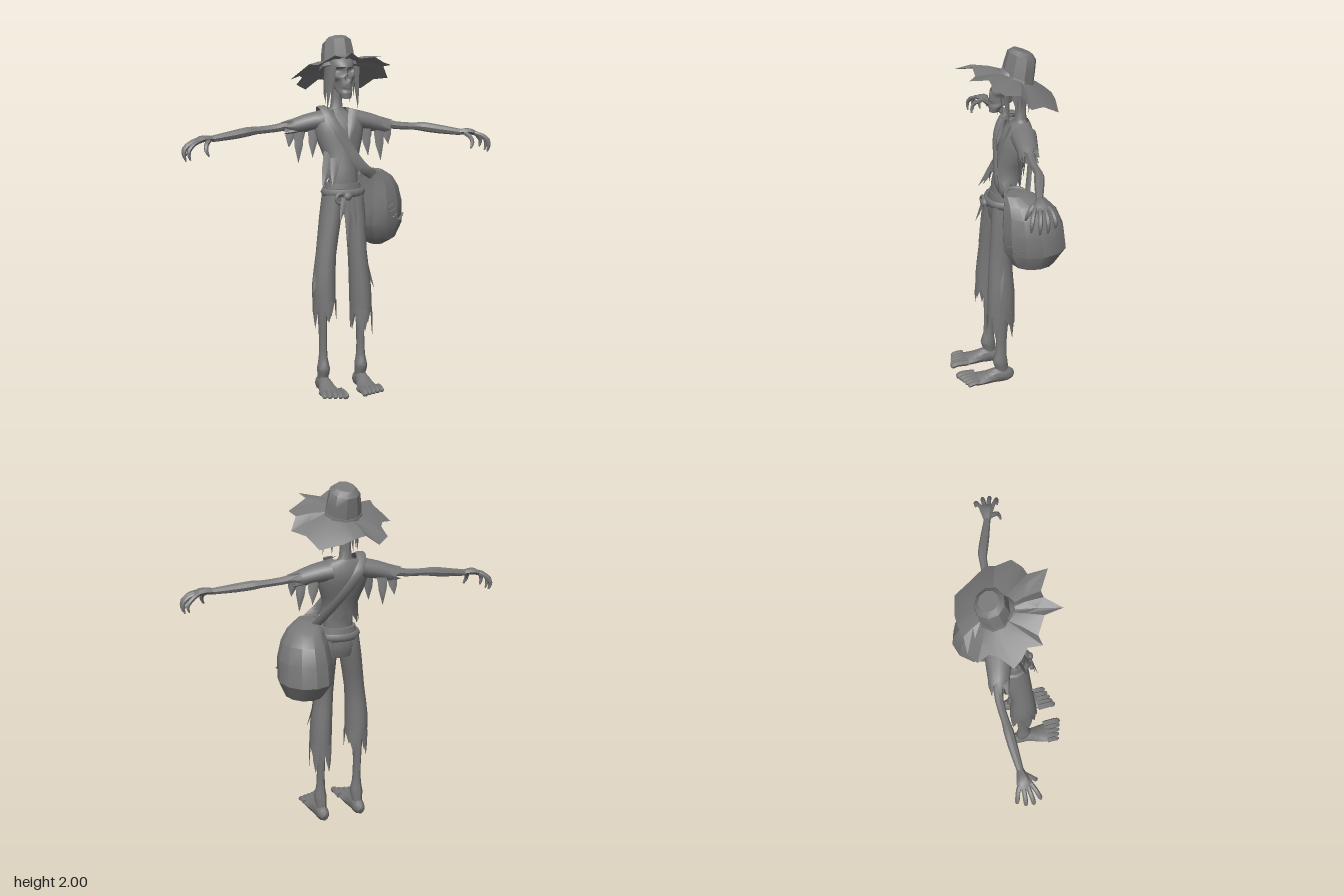
import * as THREE from 'three';
import { toCreasedNormals } from 'three/addons/utils/BufferGeometryUtils.js';

const V = (x, y, z) => new THREE.Vector3(x, y, z);
const X = V(1, 0, 0), Y = V(0, 1, 0), Z = V(0, 0, 1);
const noise = (i) => Math.abs(Math.sin(i * 12.9898 + 4.1) * 437.585) % 1;

// Crease normals at a large scale so that tiny parts keep their edges
function crease(geo, angle) {
  geo.scale(100, 100, 100);
  const out = toCreasedNormals(geo, angle);
  return out.scale(0.01, 0.01, 0.01);
}

// Elliptical cross-sections along points [x, y, z, radiusA, radiusB].
// level keeps sections horizontal (points must rise); arc leaves them open.
function sweep(pts, n, { seg = 2, ref = X, level = false, cap = true, arc = null, edit = null, angle = 0.7 } = {}) {
  const path = new THREE.CatmullRomCurve3(pts.map((p) => V(p[0], p[1], p[2])), false, 'catmullrom');
  const radii = new THREE.CatmullRomCurve3(pts.map((p) => V(p[3], p[4] ?? p[3], 0)), false, 'catmullrom');
  const rows = (pts.length - 1) * seg, cols = arc ? n + 1 : n;
  const [a0, a1] = arc ?? [0, Math.PI * 2];
  const pos = [], idx = [];
  for (let i = 0; i <= rows; i++) {
    const u = i / rows, c = path.getPoint(u), r = radii.getPoint(u);
    const t = level ? Y : path.getTangent(u);
    const side = ref.clone().addScaledVector(t, -ref.dot(t)).normalize();
    const up = side.clone().cross(t);
    for (let j = 0; j < cols; j++) {
      const a = a0 + (a1 - a0) * j / n;
      const p = c.clone().addScaledVector(side, Math.cos(a) * Math.max(r.x, 0.0005))
        .addScaledVector(up, Math.sin(a) * Math.max(r.y, 0.0005));
      if (edit) edit(p, i, j, rows);
      pos.push(p.x, p.y, p.z);
    }
  }
  for (let i = 0; i < rows; i++) for (let j = 0; j < n; j++) {
    const k = (j + 1) % cols, a = i * cols + j, b = i * cols + k;
    idx.push(a, a + cols, b, b, a + cols, b + cols);
  }
  if (cap && !arc) [0, rows].forEach((row) => {
    const c = path.getPoint(row / rows), m = pos.length / 3;
    pos.push(c.x, c.y, c.z);
    for (let j = 0; j < n; j++) {
      const a = row * cols + j, b = row * cols + (j + 1) % n;
      if (row) idx.push(m, b, a); else idx.push(m, a, b);
    }
  });
  const geo = new THREE.BufferGeometry();
  geo.setAttribute('position', new THREE.Float32BufferAttribute(pos, 3));
  geo.setIndex(idx);
  return crease(geo, angle);
}

export function createModel() {
  const grey = new THREE.MeshStandardMaterial({ color: 0x787878, side: THREE.DoubleSide });
  grey.name = 'grey';
  const root = new THREE.Group();
  const add = (name, geo, parent = root) => {
    const m = new THREE.Mesh(geo, grey);
    m.name = name;
    parent.add(m);
    return m;
  };
  const group = (name) => { const g = new THREE.Group(); g.name = name; root.add(g); return g; };
  // Flat tapering strip of cloth or hair
  const rag = (name, a, b, w, ref = X) => add(name, sweep([
    [...a, w, 0.005], [(a[0] + b[0]) / 2, a[1] * 0.45 + b[1] * 0.55, (a[2] + b[2]) / 2, w * 0.75, 0.004],
    [...b, 0.001, 0.001]], 4, { seg: 1, ref }));
  const tatter = (drop) => (p, i, j) => { if (i === 0) p.y += (j % 2 ? -drop : drop) * (0.4 + 0.6 * noise(j)); };

  // Hat: tilted back, with torn drooping brim given as [degrees, radius]
  const hat = group('hat');
  hat.position.set(0.005, 1.845, -0.095);
  hat.rotation.x = -0.36;
  add('crown', sweep([[0, -0.03, 0, 0.103, 0.092], [0, 0.05, 0.014, 0.094, 0.088], [0, 0.11, 0.024, 0.082, 0.082], [0, 0.135, 0.028, 0.055, 0.055]],
    9, { seg: 1, level: true, angle: 0.6 }), hat);
  add('hatBand', sweep([[0, -0.03, 0, 0.11, 0.099], [0, 0.0, 0.004, 0.102, 0.093]], 9, { seg: 1, level: true }), hat);
  const rim = [[0, 0.285], [14, 0.25], [30, 0.29], [45, 0.27], [58, 0.25], [67, 0.34], [83, 0.25], [94, 0.26],
    [105, 0.34], [114, 0.26], [137, 0.25], [143, 0.3], [155, 0.25], [168, 0.27], [180, 0.29], [194, 0.22],
    [207, 0.21], [220, 0.26], [238, 0.25], [254, 0.2], [275, 0.21], [290, 0.23], [315, 0.28], [340, 0.25]];
  const brimPos = [], brimIdx = [];
  rim.forEach(([deg, r], j) => [0.08, r * 0.65, r].forEach((q, k) => {
    const a = deg * Math.PI / 180, droop = 0.95 - 0.3 * Math.sin(a);
    brimPos.push(Math.cos(a) * q, -droop * q * q + k * 0.018 * (noise(j) - 0.5), Math.sin(a) * q);
    const n = (j + 1) % rim.length, c = j * 3 + k, d = n * 3 + k;
    if (k < 2) brimIdx.push(c, d, c + 1, d, d + 1, c + 1);
  }));
  const brim = new THREE.BufferGeometry();
  brim.setAttribute('position', new THREE.Float32BufferAttribute(brimPos, 3));
  brim.setIndex(brimIdx);
  add('brim', crease(brim, 0.3), hat);

  // Skull with hollow eyes, nose and cheeks: [x, y, width, height, depth]
  const hollows = [[0.031, 1.808, 0.023, 0.017, 0.045], [-0.031, 1.808, 0.023, 0.017, 0.045],
    [0, 1.77, 0.01, 0.015, 0.025], [0.055, 1.73, 0.022, 0.032, 0.035], [-0.055, 1.73, 0.022, 0.032, 0.035],
    [0, 1.708, 0.03, 0.006, 0.014]];
  add('skull', sweep([[0, 1.66, 0.045, 0.026, 0.024], [0, 1.695, 0.03, 0.04, 0.04], [0, 1.74, 0.0, 0.058, 0.068],
    [0, 1.78, -0.03, 0.07, 0.092], [0, 1.82, -0.045, 0.07, 0.1], [0, 1.87, -0.07, 0.07, 0.09], [0, 1.91, -0.09, 0.04, 0.05]],
  36, { seg: 5, level: true, angle: 1, edit: (p) => {
    if (p.z > -0.02) hollows.forEach(([x, y, w, h, d]) => { p.z -= d * Math.exp(-(((p.x - x) / w) ** 4) - ((p.y - y) / h) ** 4); });
  } }));
  for (let i = -2; i <= 2; i++) {
    add('tooth', new THREE.BoxGeometry(0.009, 0.02, 0.008).translate(i * 0.011, 1.725, 0.068 - i * i * 0.003));
  }
  // Straggly hair around sides and back
  for (let i = 0; i <= 12; i++) {
    const a = Math.PI * (0.96 + 1.08 * i / 12), c = Math.cos(a), s = Math.sin(a);
    rag('hairStrand', [0.078 * c, 1.83, -0.06 + 0.09 * s], [0.085 * c, 1.62 + 0.08 * noise(i), -0.07 + 0.085 * s], 0.024, V(-s, 0, c));
  }
  for (const s of [-1, 1]) {
    rag('hairStrand', [s * 0.075, 1.83, 0.0], [s * 0.09, 1.6, -0.01], 0.022, V(0.5, 0, 1));
    rag('hairStrand', [s * 0.068, 1.83, 0.03], [s * 0.075, 1.66, 0.02], 0.014, V(1, 0, 0.5));
  }

  // Bare torso and neck
  add('torso', sweep([[0, 1.1, -0.01, 0.09, 0.07], [0, 1.22, -0.005, 0.085, 0.062], [0, 1.32, -0.03, 0.085, 0.065],
    [0, 1.42, -0.06, 0.112, 0.075], [0, 1.5, -0.08, 0.125, 0.08], [0, 1.56, -0.1, 0.09, 0.055],
    [0, 1.6, -0.108, 0.036, 0.032], [0, 1.72, -0.108, 0.03, 0.03]], 14, { level: true }));

  // Open ragged shirt
  add('shirt', sweep([[0, 1.25, -0.02, 0.112, 0.085], [0, 1.33, -0.035, 0.1, 0.083], [0, 1.42, -0.06, 0.13, 0.09],
    [0, 1.51, -0.08, 0.145, 0.092], [0, 1.57, -0.09, 0.125, 0.07], [0, 1.595, -0.1, 0.07, 0.05]], 20, {
    level: true, arc: [Math.PI / 2 + 0.45, Math.PI * 2.5 - 0.45], edit: tatter(0.04) }));
  rag('shirtTatter', [-0.08, 1.36, 0.0], [-0.145, 1.17, 0.06], 0.035);
  rag('shirtTatter', [-0.06, 1.33, 0.03], [-0.1, 1.19, 0.1], 0.028);
  for (const s of [-1, 1]) {
    rag('collar', [s * 0.07, 1.59, -0.03], [s * 0.02, 1.42, 0.035], 0.026, V(1, 0.5 * s, 0));
  }

  // Arms: sleeve, limb, hand
  const arms = {
    left: [[0.1, 1.54, -0.09, 0.03], [0.22, 1.515, -0.075, 0.028], [0.34, 1.49, -0.05, 0.022], [0.45, 1.482, -0.04, 0.021],
      [0.5, 1.478, -0.03, 0.026], [0.58, 1.465, 0.0, 0.025], [0.7, 1.447, 0.045, 0.018]],
    right: [[-0.1, 1.54, -0.1, 0.03], [-0.22, 1.515, -0.135, 0.028], [-0.34, 1.49, -0.155, 0.022], [-0.45, 1.482, -0.152, 0.021],
      [-0.5, 1.478, -0.15, 0.026], [-0.58, 1.465, -0.148, 0.025], [-0.71, 1.447, -0.143, 0.018]],
  };
  for (const [name, pts] of Object.entries(arms)) {
    const s = name === 'left' ? 1 : -1;
    add(name + 'Arm', sweep(pts, 8, { ref: Z }));
    const z = (x) => pts[0][2] + (pts[2][2] - pts[0][2]) * (x - 0.1) / 0.24;
    add(name + 'Sleeve', sweep([[s * 0.08, 1.535, z(0.08), 0.075, 0.055], [s * 0.18, 1.515, z(0.18), 0.063, 0.05],
      [s * 0.29, 1.485, z(0.29), 0.048, 0.038]], 12, { ref: Z, cap: false, edit: (p, i, j, rows) => {
      if (i === rows) p.x += s * (j % 2 ? 0.02 : -0.03);
    } }));
    [[0.15, 1.33, 0.035], [0.19, 1.37, -0.04], [0.225, 1.3, 0.03], [0.25, 1.38, -0.03], [0.27, 1.39, 0.025]].forEach(([x, y, dz]) =>
      rag('sleeveTatter', [s * x, 1.5, z(x) + dz], [s * (x + 0.01), y, z(x) + dz * 1.5], 0.03, V(1, 0, 0.3)));

    const hand = group(name + 'Hand');
    hand.position.set(...pts[6].slice(0, 3));
    hand.rotation.y = s > 0 ? -0.2 : 0.05;
    const limb = (part, list) => add(part, sweep(list.map(([x, ...r]) => [s * x, ...r]), 6, { ref: Z }), hand);
    limb('palm', [[-0.01, 0, 0, 0.018, 0.016], [0.03, 0.004, 0, 0.03, 0.018], [0.065, 0, 0, 0.04, 0.018], [0.095, -0.014, 0, 0.034, 0.012]]);
    for (let i = 0; i < 4; i++) {
      const o = (i - 1.5) * 0.02, l = [0.88, 1.02, 1.06, 0.97][i];
      limb('finger', [[0.075, -0.005, o, 0.012], [0.115 * l, -0.018, o * 1.5, 0.012], [0.148 * l, -0.048, o * 1.9, 0.012],
        [0.152 * l, -0.08 * l, o * 2, 0.009], [0.144 * l, -0.106 * l, o * 2, 0.004]]);
    }
    limb('thumb', [[0.02, -0.005, 0.015, 0.013], [0.045, -0.025, 0.048, 0.013], [0.052, -0.055, 0.066, 0.011], [0.04, -0.085, 0.074, 0.005]]);
  }

  // Trousers
  add('trouserSeat', sweep([[0, 1.02, -0.005, 0.1, 0.07], [0, 1.09, -0.01, 0.118, 0.085], [0, 1.19, -0.01, 0.1, 0.075]], 14, { level: true }));
  const legs = {
    left: { x: 0.092, rings: [[0.092, 0.43, 0.035, 0.06, 0.08], [0.088, 0.6, 0.033, 0.06, 0.078], [0.072, 0.8, 0.03, 0.052, 0.066],
      [0.068, 1, 0.005, 0.055, 0.078], [0.058, 1.13, -0.005, 0.055, 0.08]] },
    right: { x: -0.135, rings: [[-0.127, 0.49, 0.035, 0.062, 0.08], [-0.13, 0.62, 0.033, 0.064, 0.078], [-0.115, 0.8, 0.03, 0.056, 0.066],
      [-0.08, 1, 0.005, 0.06, 0.078], [-0.06, 1.13, -0.005, 0.058, 0.08]] },
  };
  for (const [name, { x, rings }] of Object.entries(legs)) {
    const s = Math.sign(x), hem = rings[0];
    add(name + 'TrouserLeg', sweep(rings, 14, { level: true, cap: false, edit: tatter(0.06) }));
    for (let i = 0; i < 5; i++) {
      const a = i * 1.26 + 0.5 + x, c = Math.cos(a), n = Math.sin(a);
      rag('trouserTatter', [hem[0] + hem[3] * 0.96 * c, hem[1] + 0.05, hem[2] + 0.077 * n],
        [hem[0] + hem[3] * 1.05 * c, hem[1] - 0.06 - 0.06 * noise(i + s), hem[2] + 0.084 * n], 0.025, V(-n, 0, c));
    }
    rag('tornFlap', [x + s * 0.02, 0.76, 0.045], [x + s * 0.07, 0.59, 0.06], 0.025, V(1, 0, -s));

    // Bare shin, foot and toes
    add(name + 'Shin', sweep([[x, 0.03, 0.025, 0.03, 0.035], [x, 0.09, 0.03, 0.03, 0.038], [x, 0.14, 0.04, 0.037, 0.044], [x, 0.2, 0.035, 0.025, 0.032],
      [x, 0.32, 0.03, 0.021, 0.032], [x, 0.45, 0.027, 0.026, 0.038], [x * 0.98, 0.62, 0.03, 0.032]], 10, { level: true }));
    add(name + 'Foot', sweep([[x, 0.03, -0.035, 0.018, 0.022], [x, 0.041, -0.01, 0.034, 0.042], [x, 0.05, 0.05, 0.037, 0.05],
      [x - 0.005, 0.04, 0.12, 0.05, 0.034], [x - 0.01, 0.037, 0.18, 0.062, 0.024], [x - 0.01, 0.038, 0.215, 0.06, 0.016]], 10));
    for (let i = 0; i < 5; i++) {
      const tx = x - 0.01 - s * (2 - i) * 0.028, r = i ? 0.0145 : 0.019, end = 0.287 - i * 0.009;
      add('toe', sweep([[tx, 0.045, 0.18, r], [tx, 0.05, end - 0.04, r], [tx, 0.042, end - 0.012, r], [tx, 0.038, end, r * 0.5]], 6));
    }
  }

  // Rope belt with knot and hanging ends
  const belt = add('belt', new THREE.TorusGeometry(0.1, 0.016, 6, 20).rotateX(Math.PI / 2));
  belt.scale.set(1.1, 1.5, 0.88);
  belt.position.set(0, 1.14, -0.005);
  add('beltKnot', new THREE.IcosahedronGeometry(0.026, 1)).position.set(-0.01, 1.125, 0.092);
  add('beltLoop', new THREE.TorusGeometry(0.028, 0.01, 6, 10)).position.set(-0.05, 1.115, 0.092);
  rag('beltEnd', [-0.01, 1.12, 0.1], [-0.02, 0.87, 0.13], 0.024);
  rag('beltEnd', [0.01, 1.12, 0.1], [0.03, 0.96, 0.12], 0.02);
  rag('beltEnd', [-0.03, 1.12, 0.1], [-0.07, 0.99, 0.13], 0.018);

  // Round sack with gathered mouth
  add('sack', sweep([[0.23, 0.815, -0.08, 0.04, 0.05], [0.24, 0.85, -0.1, 0.105, 0.12], [0.235, 0.94, -0.11, 0.152, 0.178],
    [0.235, 1.06, -0.1, 0.147, 0.172], [0.23, 1.15, -0.085, 0.125, 0.15], [0.215, 1.21, -0.06, 0.095, 0.118], [0.185, 1.25, -0.02, 0.055, 0.07]],
  12, { seg: 1, level: true, angle: 0.5 }));
  const mouth = add('sackMouth', new THREE.TorusGeometry(0.058, 0.013, 6, 14).rotateX(Math.PI / 2));
  mouth.position.set(0.18, 1.24, -0.02);
  mouth.rotation.z = -0.2;
  // Stitches along the sack's patch
  for (let i = 0; i < 9; i++) {
    const a = 1.5 - 0.11 * i, y = i < 5 ? 1.08 - 0.03 * i : 0.96 + 0.008 * (i - 5), k = 0.98 + 0.01 * (i % 2);
    const p = V(0.235 + Math.cos(a) * 0.15 * k, y, -0.107 + Math.sin(a) * 0.175 * k);
    add('stitch', sweep([[p.x - 0.016, p.y - 0.008, p.z + 0.005, 0.005], [p.x + 0.016, p.y + 0.008, p.z - 0.005, 0.005]], 5, { seg: 1, ref: Y }));
  }

  // Shoulder strap running round chest and back
  add('strap', sweep([[0.16, 1.23, 0.045, 0.03, 0.008], [0.09, 1.28, 0.06, 0.03, 0.008], [0.01, 1.4, 0.04, 0.028, 0.008],
    [-0.05, 1.51, 0.018, 0.028, 0.008], [-0.09, 1.59, -0.035, 0.027, 0.008], [-0.095, 1.605, -0.1, 0.027, 0.008],
    [-0.06, 1.54, -0.17, 0.027, 0.008], [0.0, 1.45, -0.168, 0.028, 0.008], [0.09, 1.33, -0.13, 0.03, 0.008],
    [0.17, 1.23, -0.09, 0.03, 0.008]], 6, { seg: 3 }));
  return root;
}
